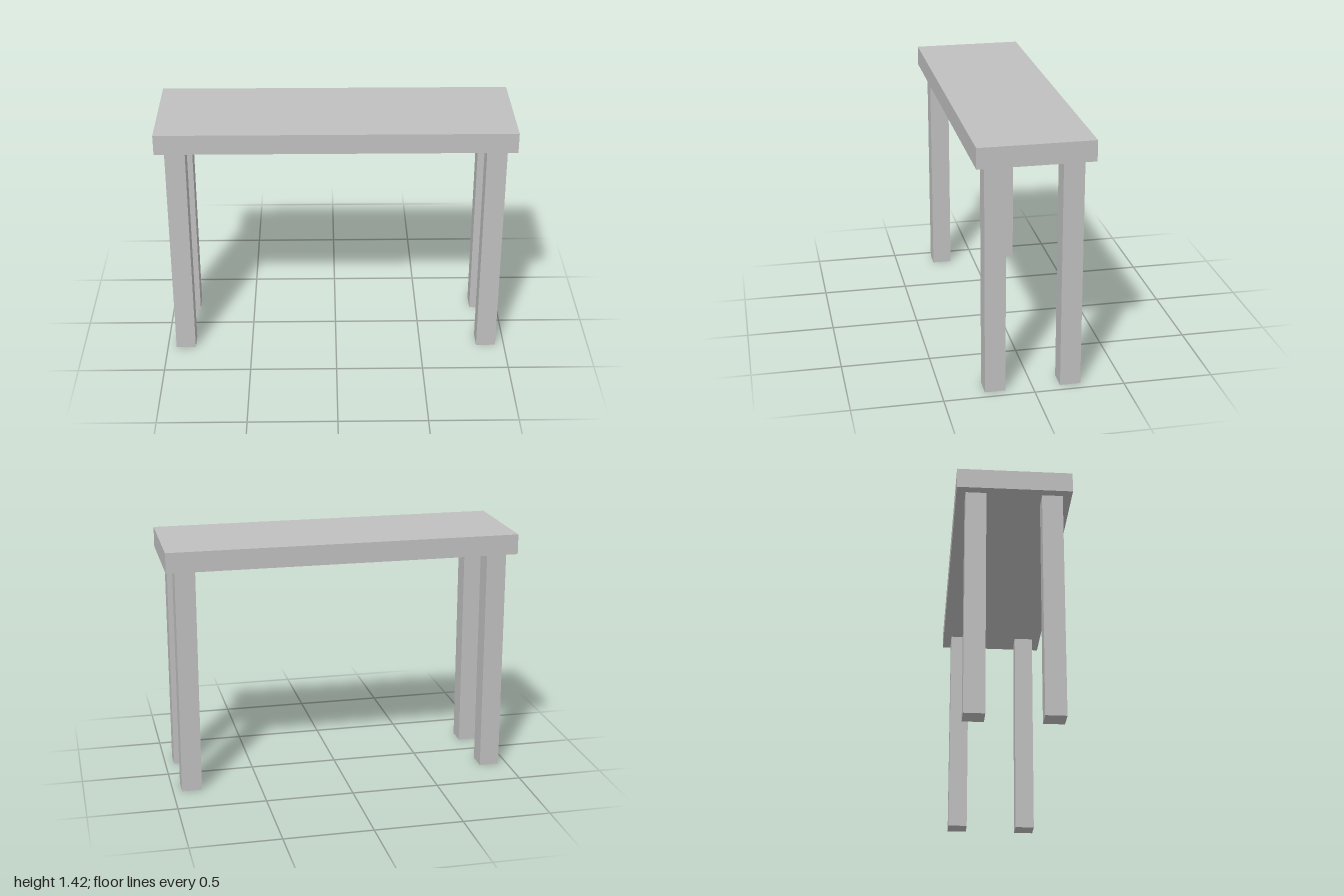
import * as THREE from 'three';

export function createModel() {
  const model = new THREE.Group();
  model.name = 'table';

  const grey = new THREE.MeshStandardMaterial({ color: 0xbfbfbf });
  grey.name = 'light grey';

  const legHeight = 1.303;
  const legWidth = 0.114;
  const topThickness = 0.115;

  const addBox = (name, size, position) => {
    const mesh = new THREE.Mesh(new THREE.BoxGeometry(...size), grey);
    mesh.name = name;
    mesh.position.set(...position);
    model.add(mesh);
  };

  // Slab top
  addBox('tabletop', [2, topThickness, 0.632], [0, legHeight + topThickness / 2, 0]);

  // Four square legs, set in from the corners
  for (const [side, x] of [['Left', 0.892], ['Right', -0.892]]) {
    for (const [end, z] of [['front', 0.209], ['back', -0.209]]) {
      addBox(`${end}${side}Leg`, [legWidth, legHeight, legWidth], [x, legHeight / 2, z]);
    }
  }

  return model;
}
